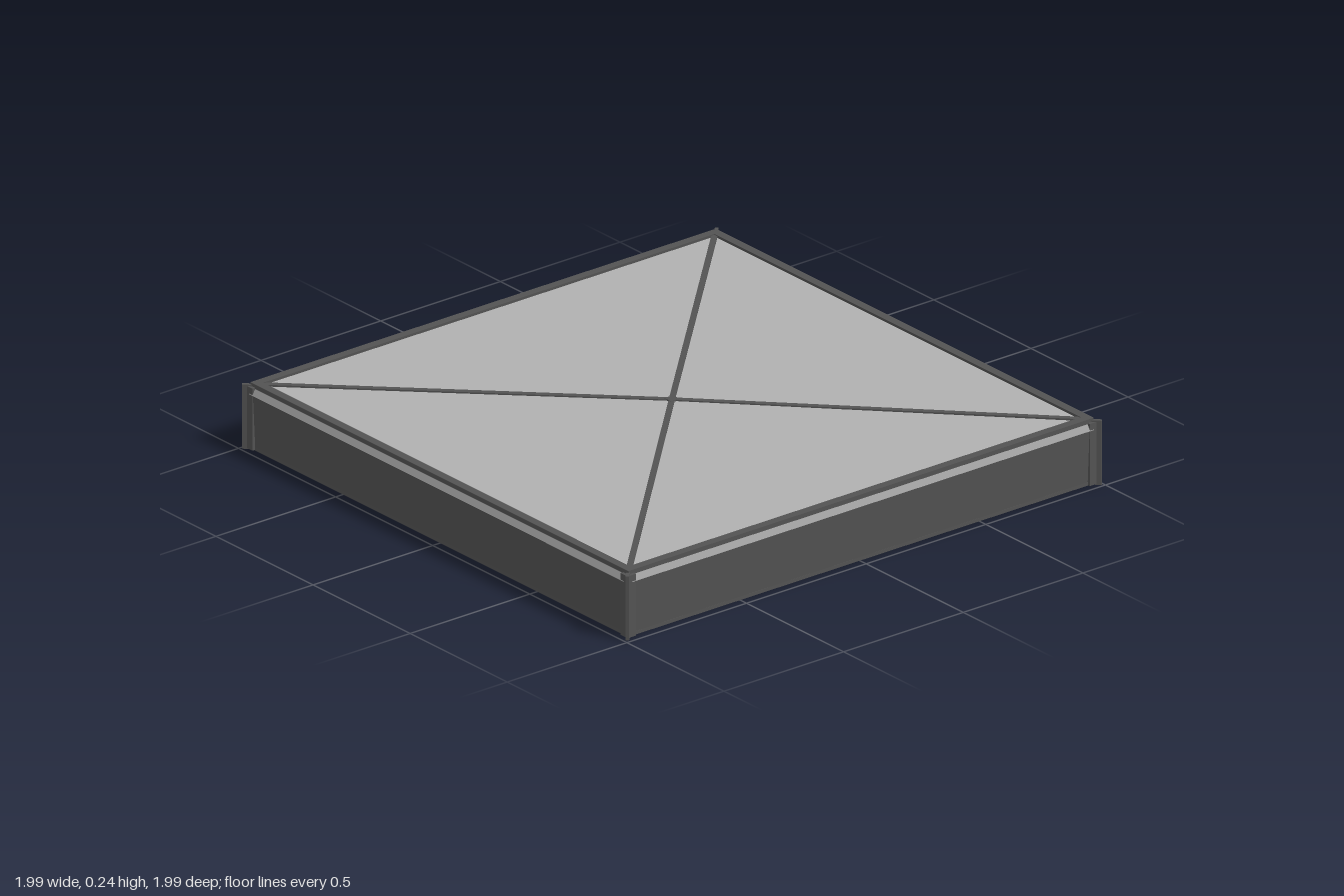
import * as THREE from 'three';

const mat = (color, extra = {}) => new THREE.MeshStandardMaterial({ color, flatShading: true, ...extra });

export function createModel() {
  const model = new THREE.Group();
  const dark = mat(0x535353);
  const light = mat(0x9f9f9f);
  const panel = mat(0xb0b0b0, { side: THREE.DoubleSide });
  const black = mat(0x050505);

  const add = (name, geo, material, parent = model) => {
    const mesh = new THREE.Mesh(geo, material);
    mesh.name = name;
    parent.add(mesh);
    return mesh;
  };

  // Straight bar of given width and height between two points
  const bar = (name, a, b, w, h, parent) => {
    const mesh = new THREE.Mesh(new THREE.BoxGeometry(w, h, a.distanceTo(b)), dark);
    mesh.name = name;
    mesh.position.copy(a).lerp(b, 0.5);
    mesh.lookAt(b); // aimed in local space, before it joins its parent
    parent.add(mesh);
  };
  const V = (x, y, z) => new THREE.Vector3(x, y, z);

  // Prism along x from a (z, y) cross-section
  const prism = (points, length) => {
    const shape = new THREE.Shape(points.map(([z, y]) => new THREE.Vector2(-z, y)));
    return new THREE.ExtrudeGeometry(shape, { depth: length, bevelEnabled: false })
      .translate(0, 0, -length / 2).rotateY(Math.PI / 2);
  };

  // Shallow four-sided roof panel
  const roof = add('topPanel', new THREE.ConeGeometry(0.955 * Math.SQRT2, 0.01, 4, 1, true).rotateY(Math.PI / 4), panel);
  roof.position.y = 0.233;

  // Slightly tapered underside and its central plate
  const under = new THREE.CylinderGeometry(0.965 * Math.SQRT2, 0.215 * Math.SQRT2, 0.01, 4).rotateY(Math.PI / 4);
  add('bottomPanel', under, light).position.y = 0.006;
  add('bottomPlate', new THREE.BoxGeometry(0.43, 0.004, 0.43), black).position.y = 0.002;

  for (let i = 0; i < 4; i++) {
    const side = new THREE.Group();
    side.name = 'side' + (i + 1);
    side.rotation.y = i * Math.PI / 2;
    model.add(side);

    // Wall, sloped ledge above it, and edge trims
    add('wall', prism([[0.955, 0.005], [0.972, 0.005], [0.982, 0.2], [0.955, 0.2]], 1.94), dark, side);
    add('ledge', prism([[0.94, 0.2], [0.985, 0.2], [0.972, 0.222], [0.94, 0.222]], 1.93), light, side);
    bar('topTrim', V(-0.972, 0.229, 0.958), V(0.972, 0.229, 0.958), 0.03, 0.016, side);
    bar('bottomTrim', V(-0.97, 0.009, 0.963), V(0.97, 0.009, 0.963), 0.02, 0.012, side);

    // Corner post with a diagonal fin
    add('cornerPost', new THREE.BoxGeometry(0.036, 0.22, 0.036), dark, side).position.set(0.966, 0.115, 0.966);
    const fin = add('cornerFin', new THREE.BoxGeometry(0.012, 0.228, 0.036), dark, side);
    fin.position.set(0.979, 0.116, 0.979);
    fin.rotation.y = Math.PI / 4;

    // Diagonal ribs on the roof and underside
    bar('topRib', V(0, 0.238, 0), V(0.955, 0.23, 0.955), 0.02, 0.008, side);
    bar('bottomRib', V(0.215, 0.004, 0.215), V(0.96, 0.011, 0.96), 0.014, 0.006, side);
  }

  // Small cap where the ribs meet
  add('topCap', new THREE.BoxGeometry(0.035, 0.006, 0.035), dark).position.y = 0.24;

  return model;
}
